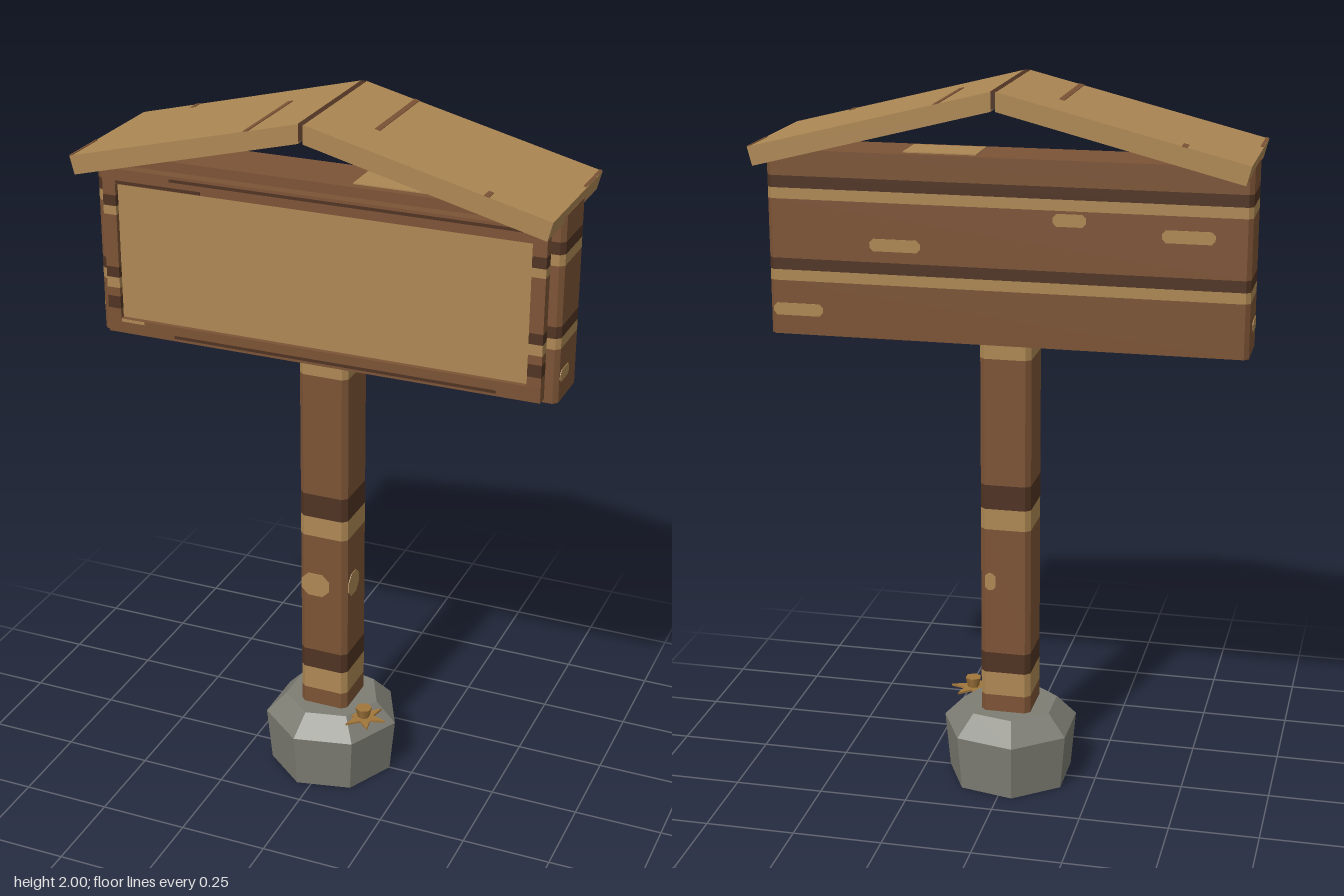
import * as THREE from 'three';

const flat = (name, color) => {
  const m = new THREE.MeshStandardMaterial({ color });
  m.name = name;
  return m;
};

export function createModel() {
  const model = new THREE.Group();
  model.name = 'signpost';
  const wood = flat('brown wood', 0x7c5335);
  const dark = flat('dark grain', 0x4f3322);
  const tan = flat('tan wood', 0xad8753);
  const stone = flat('grey stone', 0x7d7d74);
  const foliage = flat('dry leaf', 0xa1763b);
  foliage.side = THREE.DoubleSide;

  const group = (name) => {
    const g = new THREE.Group();
    g.name = name;
    model.add(g);
    return g;
  };
  const add = (parent, name, geometry, material, x = 0, y = 0, z = 0) => {
    const mesh = new THREE.Mesh(geometry, material);
    mesh.name = name;
    mesh.position.set(x, y, z);
    parent.add(mesh);
    return mesh;
  };
  const box = (parent, name, m, x0, x1, y0, y1, z0, z1) =>
    add(parent, name, new THREE.BoxGeometry(x1 - x0, y1 - y0, z1 - z0), m,
      (x0 + x1) / 2, (y0 + y1) / 2, (z0 + z1) / 2);
  const polygon = (points) => new THREE.Shape(points.map(([x, y]) => new THREE.Vector2(x, y)));

  // Upright beam with chamfered corners, stacked from coloured bands
  const beam = (parent, name, w, d, c, bands) => {
    const s = polygon([[-w + c, -d], [w - c, -d], [w, -d + c], [w, d - c],
      [w - c, d], [-w + c, d], [-w, d - c], [-w, -d + c]]);
    for (const [y0, y1, m] of bands) {
      const g = new THREE.ExtrudeGeometry(s, { depth: y1 - y0, bevelEnabled: false });
      g.rotateX(-Math.PI / 2);
      add(parent, name, g, m, 0, y0, 0);
    }
  };

  // Thin knot mark with clipped corners, turned about y to lie on a face
  const knot = (parent, w, h, x, y, z, turn) => {
    const a = w / 2, b = h / 2, c = Math.min(a, b) * 0.6;
    const s = polygon([[-a + c, -b], [a - c, -b], [a, -b + c], [a, b - c],
      [a - c, b], [-a + c, b], [-a, b - c], [-a, -b + c]]);
    const g = new THREE.ExtrudeGeometry(s, { depth: 0.003, bevelEnabled: false });
    add(parent, 'woodKnot', g, tan, x, y, z).rotation.y = turn;
  };

  // Seven-sided stone foot
  const profile = [[0, 0], [0.18, 0], [0.195, 0.16], [0.137, 0.22], [0, 0.22]];
  const foot = new THREE.LatheGeometry(
    profile.map(([r, y]) => new THREE.Vector2(r, y)), 7, Math.PI / 2).toNonIndexed();
  foot.computeVertexNormals();
  add(model, 'stoneFoot', foot, stone);

  // Small dry leaf cluster on the stone
  const leaf = group('leafCluster');
  const star = [];
  for (let i = 0; i < 12; i++) {
    const r = i % 2 ? 0.028 : 0.066, a = (i * Math.PI) / 6;
    star.push([r * Math.cos(a), r * Math.sin(a)]);
  }
  const leafShape = new THREE.ExtrudeGeometry(polygon(star), { depth: 0.006, bevelEnabled: false });
  leafShape.rotateX(-Math.PI / 2);
  add(leaf, 'leafBlades', leafShape, foliage, 0.13, 0.211, 0.082);
  add(leaf, 'leafBud', new THREE.CylinderGeometry(0.024, 0.016, 0.034, 6), foliage, 0.13, 0.229, 0.082);

  // Post
  const post = group('post');
  beam(post, 'postBand', 0.071, 0.076, 0.014, [
    [0.2, 0.27, wood], [0.27, 0.34, tan], [0.34, 0.4, dark], [0.4, 0.77, wood],
    [0.77, 0.83, tan], [0.83, 0.9, dark], [0.9, 1.26, wood], [1.26, 1.3, tan]]);
  knot(post, 0.085, 0.07, -0.022, 0.615, 0.075, 0);
  knot(post, 0.075, 0.07, 0.07, 0.615, 0.022, Math.PI / 2);
  knot(post, 0.03, 0.05, 0.042, 0.615, -0.075, Math.PI);

  // Sign board with grain bands wrapping round it
  const board = group('signBoard');
  beam(board, 'boardBand', 0.655, 0.082, 0.012, [
    [1.3, 1.45, wood], [1.45, 1.48, tan], [1.48, 1.512, dark], [1.512, 1.675, wood],
    [1.675, 1.705, tan], [1.705, 1.738, dark], [1.738, 1.808, wood]]);
  for (const [x, y] of [[0.3, 1.56], [-0.175, 1.65], [-0.49, 1.62], [0.575, 1.37]])
    knot(board, x === -0.175 ? 0.09 : 0.14, 0.034, x, y, -0.081, Math.PI);
  for (const s of [-1, 1]) knot(board, 0.075, 0.032, s * 0.654, 1.37, 0.03, (s * Math.PI) / 2);
  box(board, 'topGrain', tan, 0.08, 0.28, 1.806, 1.811, -0.06, 0.06);

  // Face panel and frame
  box(model, 'facePanel', tan, -0.59, 0.59, 1.34, 1.75, 0.08, 0.1);
  const frame = group('frame');
  for (const [y0, y1] of [[1.31, 1.352], [1.738, 1.78]])
    box(frame, 'frameRail', wood, -0.62, 0.62, y0, y1, 0.08, 0.114);
  for (const s of [-1, 1]) {
    const stile = [[1.352, 1.38, wood], [1.38, 1.415, dark], [1.415, 1.44, wood], [1.44, 1.47, tan],
      [1.47, 1.5, dark], [1.5, 1.65, wood], [1.65, 1.675, tan], [1.675, 1.705, dark], [1.705, 1.738, wood]];
    for (const [y0, y1, m] of stile) {
      const a = s * 0.582, b = s * 0.62;
      box(frame, 'frameStile', m, Math.min(a, b), Math.max(a, b), y0, y1, 0.08, 0.114);
    }
  }
  // Grain lines on the rails
  for (const [x0, x1, y, m] of [[-0.42, 0.6, 1.768, dark], [-0.58, -0.33, 1.744, dark],
    [-0.42, 0.5, 1.322, dark], [-0.58, -0.51, 1.347, tan]])
    box(frame, 'railGrain', m, x0, x1, y - 0.004, y + 0.004, 0.112, 0.116);

  // Gabled roof
  const roof = group('roof');
  const slope = Math.atan2(0.165, 0.66);
  for (const s of [-1, 1]) {
    const slab = polygon([[s * 0.006, 1.9985], [s * 0.66, 1.835], [s * 0.647, 1.785], [s * 0.006, 1.948]]);
    add(roof, 'roofSlab', new THREE.ExtrudeGeometry(slab, { depth: 0.42, bevelEnabled: false }), tan, 0, 0, -0.21);
    // Grain lines, turned half round from one slope to the other
    for (const [x, z0, z1, w] of [[0.15, -0.21, 0.07, 0.014], [0.49, 0.175, 0.21, 0.014], [0.655, -0.21, -0.07, 0.008]]) {
      const line = add(roof, 'roofGrain', new THREE.BoxGeometry(w, 0.004, z1 - z0), wood,
        s * x, 2 - 0.25 * x, (s * (z0 + z1)) / 2);
      line.rotation.z = -s * slope;
    }
  }
  box(roof, 'ridgeSeam', dark, -0.008, 0.008, 1.955, 1.9985, -0.209, 0.209);

  return model;
}
